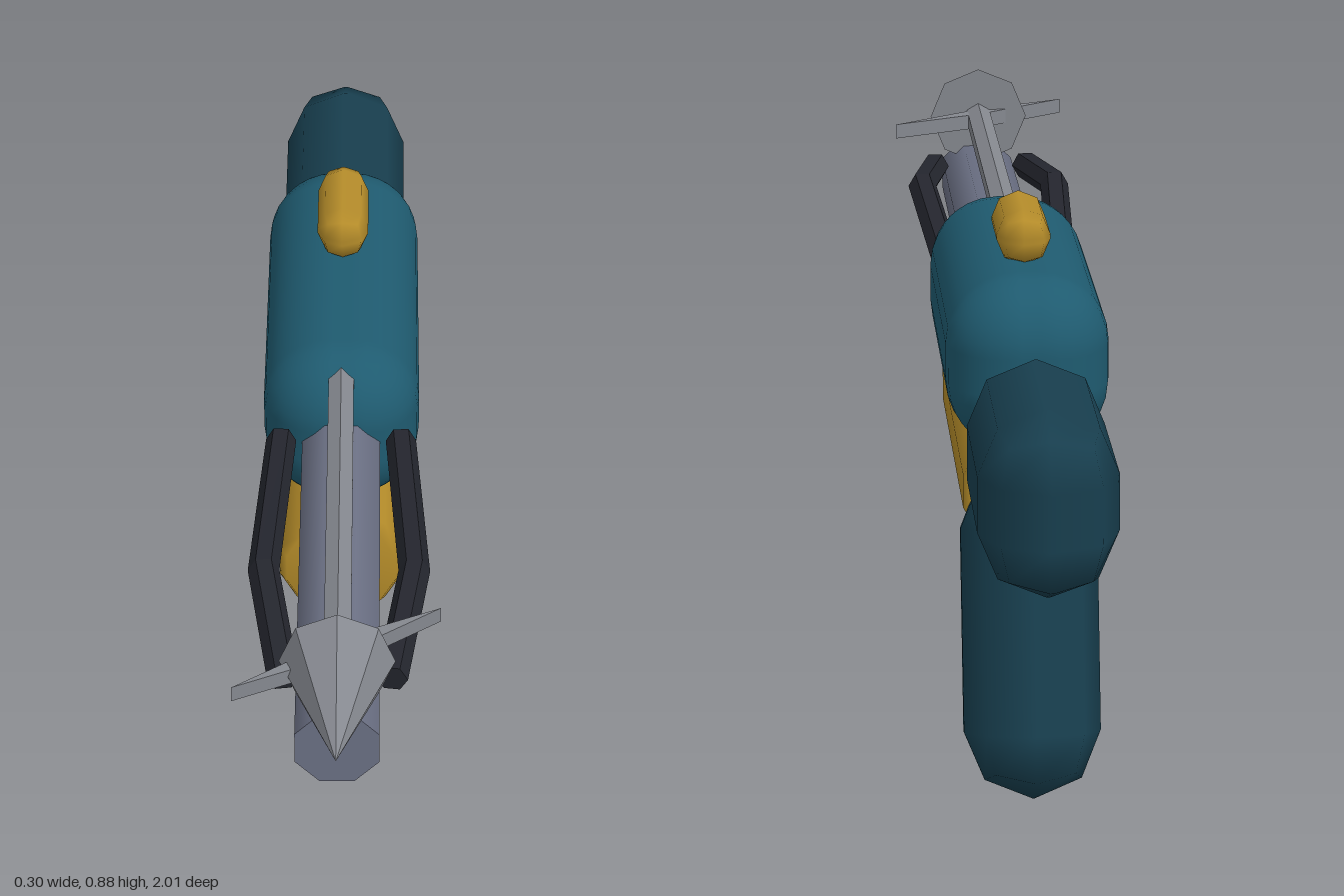
import * as THREE from 'three';
import { RoundedBoxGeometry } from 'three/addons/geometries/RoundedBoxGeometry.js';

const mat = (color, flatShading = false, side = THREE.FrontSide) =>
  new THREE.MeshStandardMaterial({ color, flatShading, side });

export function createModel() {
  const model = new THREE.Group();
  const teal = mat(0x1f5b70), darkTeal = mat(0x183f4f), gold = mat(0xb68d2a);
  const steel = mat(0x6c7185), spearSteel = mat(0x85888f, true);
  const rubber = mat(0x24262e, true, THREE.DoubleSide);

  const add = (name, geometry, material, x = 0, y = 0, z = 0, tilt = 0) => {
    const mesh = new THREE.Mesh(geometry, material);
    mesh.name = name;
    mesh.position.set(x, y, z);
    mesh.rotation.x = tilt;
    model.add(mesh);
    return mesh;
  };

  // Rounded block whose outer faces reach the given sizes in spite of coarse rounding
  const block = (w, h, d, r, segments) => {
    const e = 0.5 / (2 * segments + 1);
    const pad = 2 * r * (1 - 0.5 / Math.hypot(0.5, e, e));
    return new RoundedBoxGeometry(w + pad, h + pad, d + pad, segments, r);
  };

  // Cylinder or cone lying along z, tip or top towards the front
  const along = (rFront, rBack, length, sides, turn = 0) =>
    new THREE.CylinderGeometry(rFront, rBack, length, sides).rotateY(turn).rotateX(Math.PI / 2);

  // Main body, stock and grip
  add('body', block(0.246, 0.275, 0.685, 0.11, 4), teal, 0, 0.668, -0.238);
  add('stock', block(0.186, 0.265, 0.435, 0.1, 1), darkTeal, 0, 0.578, -0.782);
  add('grip', block(0.19, 0.5, 0.207, 0.104, 1), darkTeal, 0, 0.262, -0.549, 0.26);

  // Tank under the body, with bevelled ends
  const tankProfile = [[0, -0.322], [0.09, -0.322], [0.102, -0.3], [0.102, 0.3], [0.09, 0.322], [0, 0.322]]
    .map(([r, h]) => new THREE.Vector2(r, h));
  const tank = new THREE.LatheGeometry(tankProfile, 12).rotateY(Math.PI / 12).rotateX(Math.PI / 2);
  add('tank', tank, gold, 0, 0.462, -0.178);

  // Sight and trigger
  add('sight', block(0.075, 0.08, 0.19, 0.04, 1), gold, 0, 0.84, -0.33);
  add('trigger', block(0.066, 0.12, 0.058, 0.031, 1), gold, 0, 0.37, -0.288, 0.26);

  // Barrel
  add('barrel', along(0.067, 0.067, 0.83, 8, Math.PI / 8), steel, 0, 0.652, 0.415);

  // Spear: shaft, head and a slanted barb blade
  add('spearShaft', along(0.023, 0.023, 0.8, 6), spearSteel, 0, 0.768, 0.375);
  add('spearHead', along(0, 0.085, 0.228, 8), spearSteel, 0, 0.768, 0.886);
  const blade = new THREE.Shape([[-0.152, -0.85], [0, -0.735], [0.152, -0.66], [0, -0.775]]
    .map(([x, y]) => new THREE.Vector2(x, y)));
  const barbs = new THREE.ExtrudeGeometry(blade, { depth: 0.025, bevelEnabled: false });
  add('barbs', barbs.rotateX(-Math.PI / 2), spearSteel, 0, 0.755, 0);

  // Elastic bands bowed out on both sides of the barrel
  for (const side of [1, -1]) {
    const path = new THREE.CatmullRomCurve3([[0.095, 0.684, 0.1], [0.114, 0.712, 0.48], [0.08, 0.691, 0.715]]
      .map(([x, y, z]) => new THREE.Vector3(side * x, y, z)));
    // Step by knot so that the bend falls on the middle point
    path.getPointAt = path.getPoint;
    path.getTangentAt = path.getTangent;
    const name = side > 0 ? 'leftBand' : 'rightBand';
    add(name, new THREE.TubeGeometry(path, 2, 0.024, 6), rubber);
    for (const t of [0, 1]) {
      const p = path.getPoint(t);
      const cap = add(name + 'End', new THREE.CircleGeometry(0.024, 6), rubber, p.x, p.y, p.z);
      cap.lookAt(p.clone().add(path.getTangent(t)));
    }
  }
  return model;
}
